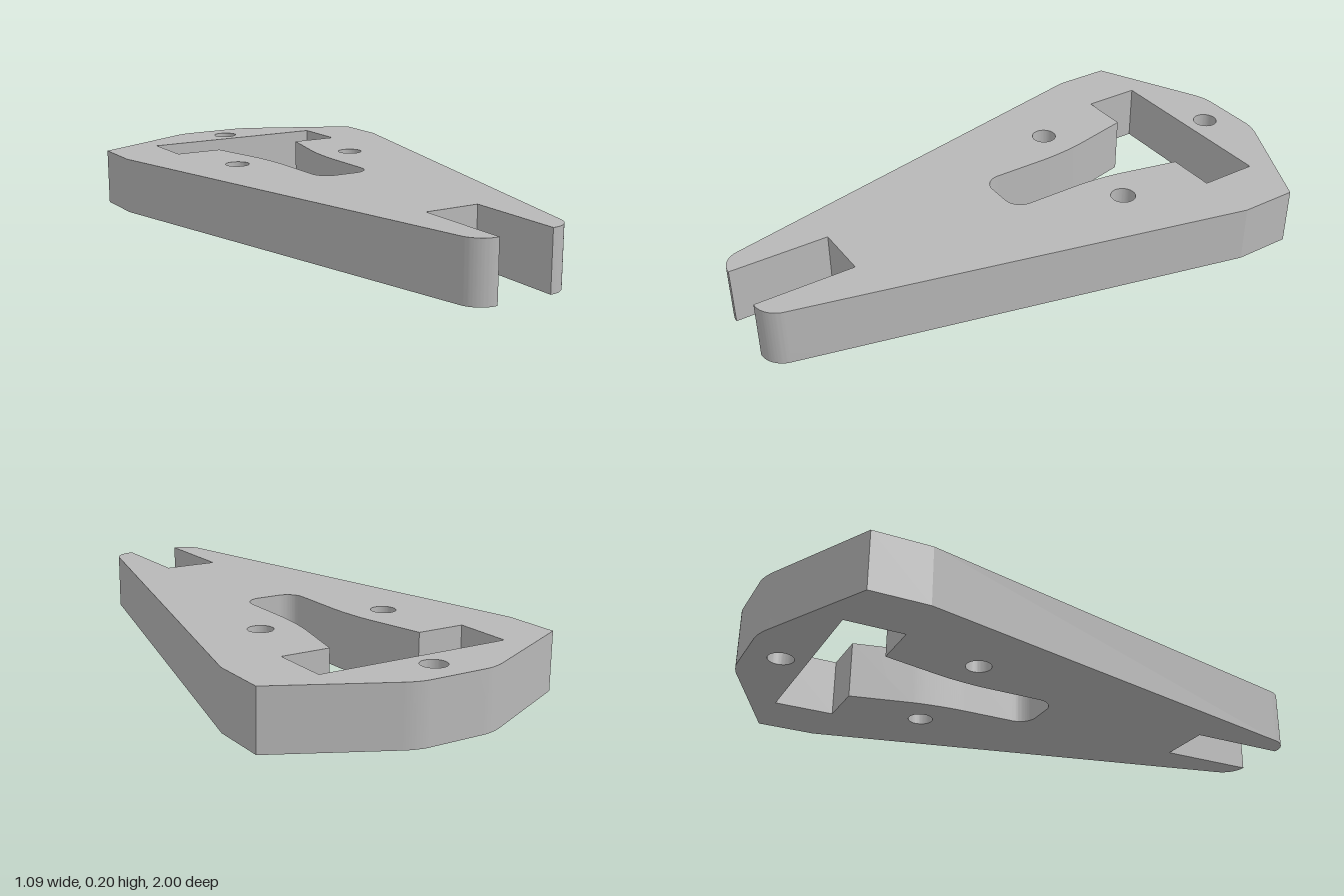
import * as THREE from 'three';
import { toCreasedNormals } from 'three/addons/utils/BufferGeometryUtils.js';

const THICKNESS = 0.2;

// Traces half a contour (x > 0), then its mirror image in reverse.
// Steps are [x, z] for a line or [cornerX, cornerZ, x, z] for a rounded corner.
function traceMirrored(path, start, steps) {
  const round = (x0, z0, cx, cz, x, z) => {
    const k = 0.57;
    path.bezierCurveTo(
      x0 + (cx - x0) * k, -(z0 + (cz - z0) * k),
      x + (cx - x) * k, -(z + (cz - z) * k), x, -z);
  };
  const points = [start, ...steps.map((s) => s.slice(-2))];
  path.moveTo(start[0], -start[1]);
  steps.forEach((s, i) => {
    if (s.length === 2) path.lineTo(s[0], -s[1]);
    else round(...points[i], ...s);
  });
  const [lastX, lastZ] = points[points.length - 1];
  path.lineTo(-lastX, -lastZ);
  for (let i = steps.length - 1; i >= 0; i--) {
    const [x, z] = points[i];
    const s = steps[i];
    if (s.length === 2) path.lineTo(-x, -z);
    else round(-points[i + 1][0], points[i + 1][1], -s[0], s[1], -x, z);
  }
  path.closePath();
  return path;
}

export function createModel() {
  const group = new THREE.Group();
  group.name = 'slottedPlate';

  const grey = new THREE.MeshStandardMaterial({ color: 0xb8b8b8 });
  grey.name = 'plain grey';

  // Tapered outline with the open notch between the front prongs
  const outline = traceMirrored(new THREE.Shape(), [0.098, 0.655], [
    [0.098, 1],
    [0.105, 1],
    [0.168, 1, 0.183, 0.938],
    [0.543, -0.6],
    [0.543, -0.8],
    [0.18, -0.978],
    [0.138, -1, 0.1, -1],
  ]);

  // T-shaped opening: wide rectangle leading into a narrowing slot
  outline.holes.push(traceMirrored(new THREE.Path(), [0.34, -0.8], [
    [0.34, -0.597],
    [0.169, -0.597],
    [0.122, -0.39],
    [0.102, -0.3, 0.102, -0.2],
    [0.102, -0.012],
    [0.102, 0.05, 0.04, 0.05],
  ]));

  // Three round screw holes
  for (const [x, z] of [[0, -0.885], [-0.24, -0.305], [0.24, -0.305]]) {
    const hole = new THREE.Path();
    hole.absarc(x, -z, 0.043, 0, Math.PI * 2, true);
    outline.holes.push(hole);
  }

  const extruded = new THREE.ExtrudeGeometry(outline, {
    depth: THICKNESS, bevelEnabled: false, curveSegments: 24,
  });
  extruded.rotateX(-Math.PI / 2);

  // A small crease angle keeps the shallow outline corners crisp
  const plate = new THREE.Mesh(toCreasedNormals(extruded, 0.19), grey);
  plate.name = 'plate';
  group.add(plate);
  return group;
}
